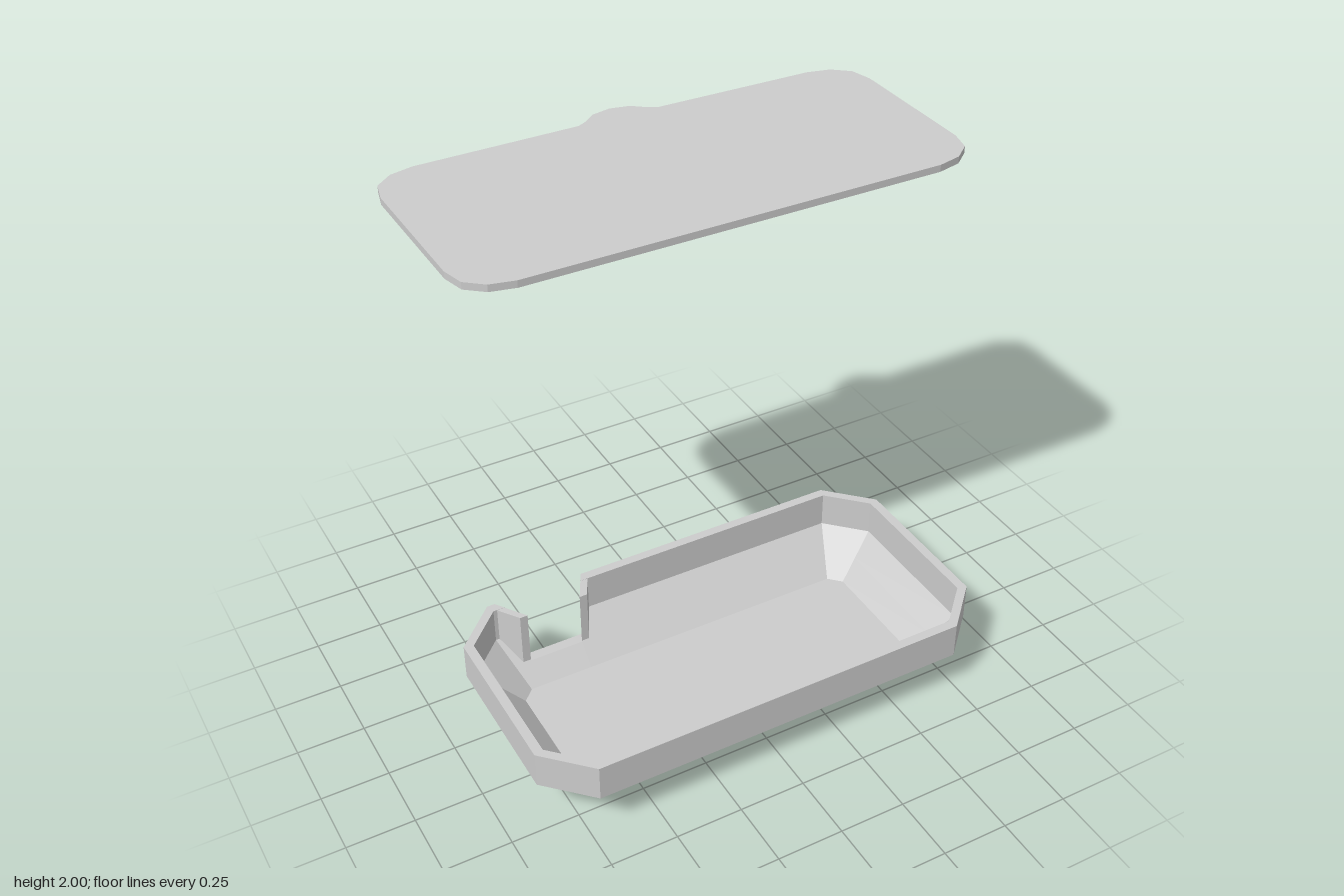
import * as THREE from 'three';

const CZ = 0.16;          // centre of the tray in z
const SILL = 0.10;        // height of the notch sill

// x of the two flared notch sides at a given z
const flare = (z) => THREE.MathUtils.clamp((z + 0.30) / 0.115, 0, 1);
const notchA = (z) => THREE.MathUtils.lerp(-0.34, -0.40, flare(z));
const notchB = (z) => THREE.MathUtils.lerp(-0.69, -0.61, flare(z));

// chamfered rectangle with two extra points on the back edge for the notch
function ring(hx, hz, c, y) {
  const back = CZ - hz;
  return [
    [-hx + c, CZ + hz], [hx - c, CZ + hz], [hx, CZ + hz - c], [hx, back + c],
    [hx - c, back], [notchA(back), back], [notchB(back), back],
    [-hx + c, back], [-hx, back + c], [-hx, CZ + hz - c],
  ].map(([x, z]) => [x, y, z]);
}

// ring part way between two sections [hx, hz, c, y] at height y
function between(a, b, y) {
  const t = (y - a[3]) / (b[3] - a[3]);
  return ring(...a.map((v, i) => v + (b[i] - v) * t));
}

function trayGeometry() {
  const pos = [];
  const tri = (...p) => p.forEach((v) => pos.push(...v));
  const quad = (a, b, c, d) => { tri(a, b, c); tri(a, c, d); };
  const base = [0.705, 0.285, 0.05, 0], outer = [0.88, 0.46, 0.16, 0.18];
  const inner = [0.845, 0.425, 0.135, 0.18], floor = [0.69, 0.27, 0.045, 0.03];
  const rings = [
    ring(...base), between(base, outer, SILL), ring(...outer), ring(0.88, 0.46, 0.16, 0.32),
    ring(0.845, 0.425, 0.135, 0.32), ring(...inner), between(inner, floor, SILL), ring(...floor),
  ];
  const n = rings[0].length;
  // walls: up the outside, over the rim, down the inside
  for (let i = 0; i < rings.length - 1; i++) {
    for (let k = 0; k < n; k++) {
      if (k === 5 && i >= 1 && i <= 5) continue;   // notch opening
      const m = (k + 1) % n;
      quad(rings[i][k], rings[i][m], rings[i + 1][m], rings[i + 1][k]);
    }
  }
  // notch sill
  quad(rings[1][5], rings[1][6], rings[6][6], rings[6][5]);
  // underside and inside floor
  const lo = rings[0], hi = rings[7];
  for (let k = 1; k < n - 1; k++) {
    tri(lo[0], lo[k + 1], lo[k]);
    tri(hi[0], hi[k], hi[k + 1]);
  }
  const g = new THREE.BufferGeometry();
  g.setAttribute('position', new THREE.Float32BufferAttribute(pos, 3));
  g.computeVertexNormals();
  return g;
}

// thin angled cheek on one side of the notch
function cheekGeometry(xAt, shift) {
  const s = new THREE.Shape([
    [-0.298, 0.319], [-0.298, 0.182], [-0.218, SILL], [-0.185, SILL], [-0.185, 0.319],
  ].map(([z, y]) => new THREE.Vector2(z, y)));
  const g = new THREE.ExtrudeGeometry(s, { depth: 0.03, bevelEnabled: false });
  g.rotateY(-Math.PI / 2);
  const p = g.attributes.position;
  for (let i = 0; i < p.count; i++) p.setX(i, p.getX(i) + xAt(p.getZ(i)) + shift);
  g.computeVertexNormals();
  return g;
}

// flat lid with faceted round corners and a pull tab at the back
function lidGeometry() {
  const corner = [[0.905, 0.11], [0.885, 0.19], [0.825, 0.24], [0.74, 0.26]];
  const mid = -0.145;
  const mirrorZ = ([x, z]) => [x, 2 * mid - z];
  const half = [
    [0, -0.625], [0.07, -0.61], [0.12, -0.57], [0.15, -0.555],
    ...corner.map(mirrorZ).reverse(), ...corner,
  ];
  const left = half.slice(1).reverse().map(([x, z]) => [-x, z]);
  const s = new THREE.Shape([...half, ...left].map(([x, z]) => new THREE.Vector2(x, -z)));
  const g = new THREE.ExtrudeGeometry(s, { depth: 0.025, bevelEnabled: false });
  g.rotateX(-Math.PI / 2);
  g.translate(0, 1.975, 0);
  return g;
}

export function createModel() {
  const model = new THREE.Group();
  model.name = 'trayWithLid';
  const grey = new THREE.MeshStandardMaterial({ color: 0xcccccc });
  grey.name = 'lightGrey';
  const add = (name, geometry) => {
    const mesh = new THREE.Mesh(geometry, grey);
    mesh.name = name;
    model.add(mesh);
  };
  add('tray', trayGeometry());
  add('notchCheekInner', cheekGeometry(notchA, 0.03));
  add('notchCheekCorner', cheekGeometry(notchB, 0));
  add('lid', lidGeometry());
  return model;
}
